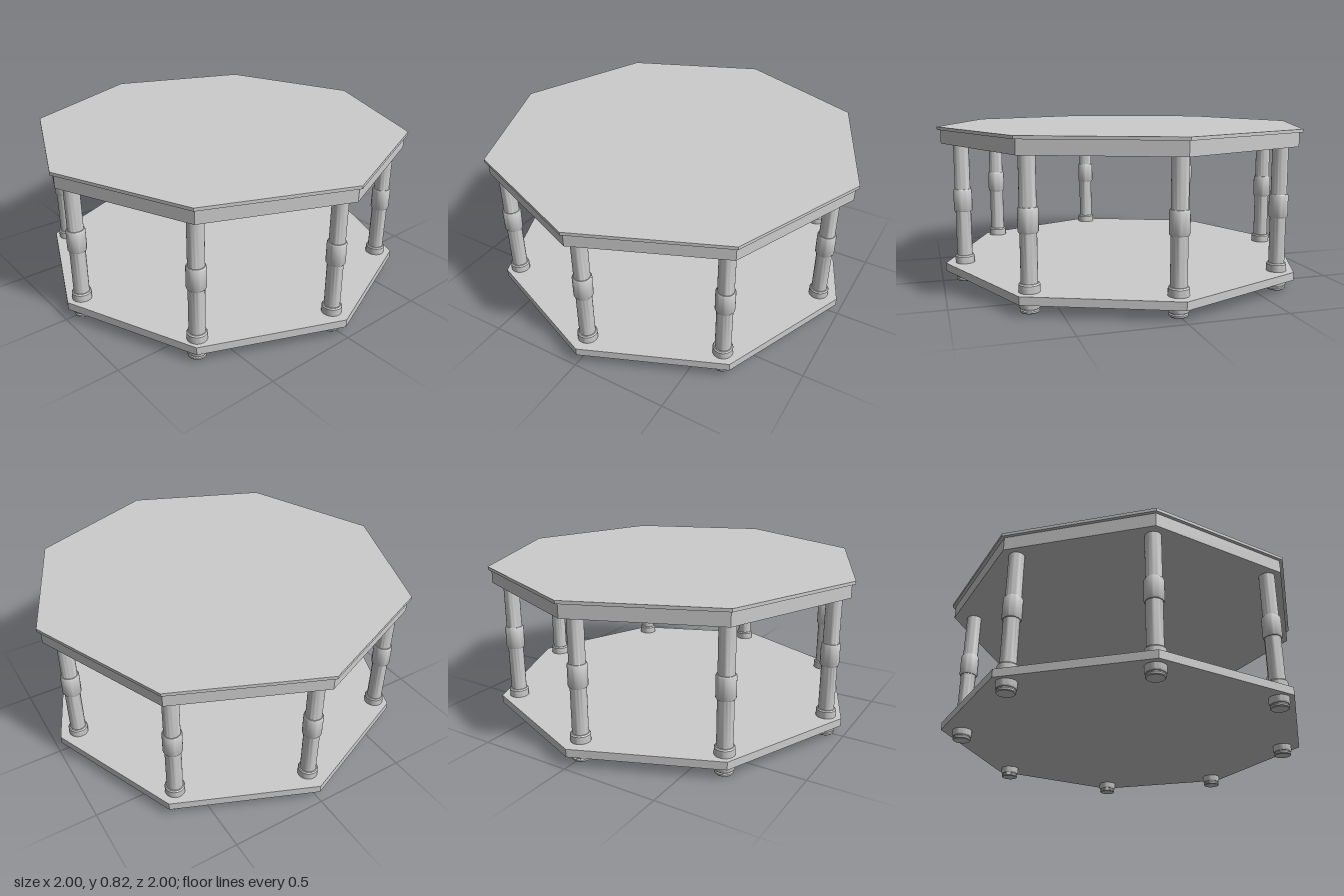
import * as THREE from 'three';
import { toCreasedNormals } from 'three/addons/utils/BufferGeometryUtils.js';

export function createModel() {
  const table = new THREE.Group();
  table.name = 'octagonalTable';
  const grey = new THREE.MeshStandardMaterial({ color: 0xcccccc });
  grey.name = 'light grey';

  // Octagonal boards, with a corner facing the front
  function board(name, radius, bottom, top) {
    const geometry = toCreasedNormals(new THREE.CylinderGeometry(radius, radius, top - bottom, 8), 0.3);
    const mesh = new THREE.Mesh(geometry, grey);
    mesh.position.y = (bottom + top) / 2;
    mesh.name = name;
    table.add(mesh);
  }
  board('tableTop', 1, 0.804, 0.82);
  board('apron', 0.983, 0.733, 0.804);
  board('lowerShelf', 0.983, 0.055, 0.096);

  // Turned leg: foot, base ring, shaft and middle collar
  const profile = [
    [0, 0], [0.042, 0], [0.046, 0.004], [0.046, 0.012], [0.041, 0.016],
    [0.041, 0.02], [0.046, 0.02], [0.05, 0.026], [0.05, 0.132], [0.045, 0.139],
    [0.04, 0.139], [0.04, 0.374], [0.044, 0.374], [0.048, 0.381], [0.048, 0.485],
    [0.044, 0.492], [0.04, 0.492], [0.04, 0.735],
  ].map(([r, y]) => new THREE.Vector2(r, y));
  const legGeometry = toCreasedNormals(new THREE.LatheGeometry(profile, 32), 0.6);

  // One leg just inside each corner
  const places = [
    [0, 0.882], [0.628, 0.636], [0.88, 0], [0.628, -0.631],
    [0, -0.872], [-0.647, -0.631], [-0.9, 0], [-0.647, 0.636],
  ];
  places.forEach(([x, z], i) => {
    const leg = new THREE.Mesh(legGeometry, grey);
    leg.position.set(x, 0, z);
    leg.name = `leg${i + 1}`;
    table.add(leg);
  });

  return table;
}
